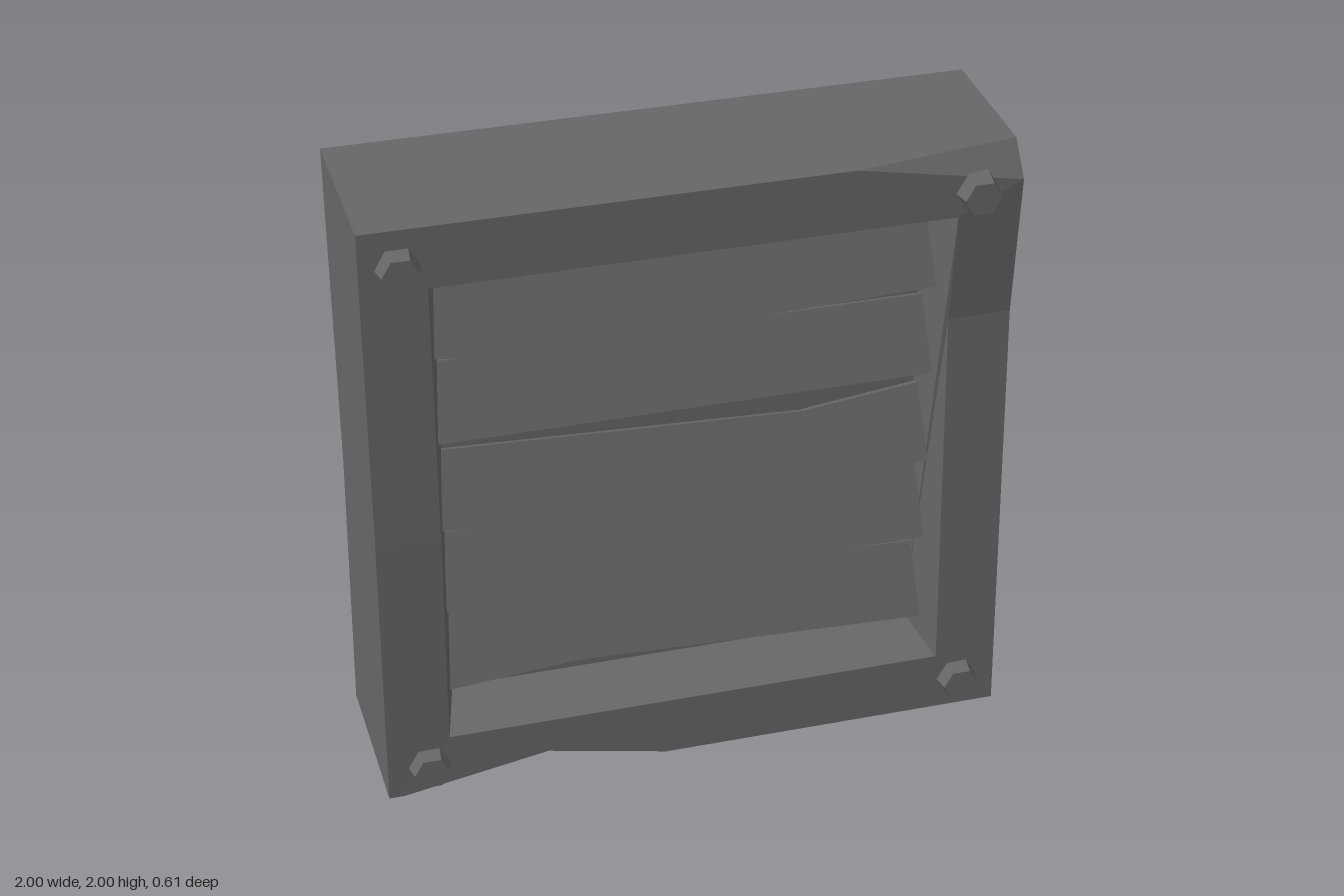
import * as THREE from 'three';
import { mergeVertices } from 'three/addons/utils/BufferGeometryUtils.js';

const metal = new THREE.MeshStandardMaterial({ color: 0x666666 });
metal.name = 'dark grey metal';

// Mesh from convex polygons, each fanned from its first corner; faceted unless smooth
function facetMesh(name, polygons, smooth = false) {
  const pos = [];
  for (const p of polygons)
    for (let i = 1; i < p.length - 1; i++) pos.push(...p[0], ...p[i], ...p[i + 1]);
  let g = new THREE.BufferGeometry();
  g.setAttribute('position', new THREE.Float32BufferAttribute(pos, 3));
  if (smooth) g = mergeVertices(g);
  g.computeVertexNormals();
  const mesh = new THREE.Mesh(g, metal);
  mesh.name = name;
  return mesh;
}

// Half width of the tapered recess at depth z
const recessHalf = (z) => 0.8 - (0.25 - z) * 0.28;

// Dented casing with a tapered square recess
function makeHousing() {
  // front outline, with a bottom notch and a clipped top corner
  const bl = [-1, 0, 0.255], br = [1, 0, 0.255], tl = [-1, 2, 0.25];
  const notchL = [-0.95, 0, 0.255], notchTop = [-0.485, 0.082, 0.255];
  const notchR = [-0.1, 0, 0.255], notchBack = [-0.47, 0, 0.1];
  const rightDent = [1, 1.43, 0.205], leftBulge = [-1, 0.95, 0.275];
  const clipR = [1, 1.9, 0.25], clipT = [0.48, 2, 0.25], clipBack = [1, 2, 0.17];
  // opening rim
  const ibl = [-0.8, 0.2, 0.255], ibr = [0.8, 0.2, 0.255];
  const itl = [-0.8, 1.8, 0.25], itr = [0.8, 1.8, 0.25];
  const iRight = [0.8, 1.43, 0.21], iLeft = [-0.8, 0.95, 0.27];
  // recess floor
  const floorZ = 0.07, w = recessHalf(floorZ);
  const dbl = [-w, 0.255, floorZ], dbr = [w, 0.255, floorZ];
  const dtl = [-w, 1.755, floorZ], dtr = [w, 1.755, floorZ];
  // back outline
  const bz = -0.305;
  const bbl = [-1, 0, bz], bbr = [1, 0, bz], btl = [-1, 2, bz], btr = [1, 2, bz];
  const backL = [-1, 0.95, -0.25], backR = [1, 1.5, -0.262];

  const housing = new THREE.Group();
  housing.name = 'housing';
  housing.add(facetMesh('frame', [
    // front frame
    [bl, notchL, notchTop, ibl], [notchTop, notchR, br, ibr, ibl],
    [br, rightDent, iRight, ibr], [rightDent, clipR, itr, iRight],
    [clipR, clipT, itr], [clipT, tl, itl, itr],
    [tl, leftBulge, iLeft, itl], [leftBulge, bl, ibl, iLeft],
    // clipped corner and notch
    [clipR, clipBack, clipT], [notchL, notchBack, notchTop], [notchTop, notchBack, notchR],
    // recess
    [ibl, ibr, dbr, dbl], [dbr, ibr, iRight, itr, dtr],
    [itr, itl, dtl, dtr], [dbl, dtl, itl, iLeft, ibl], [dbl, dbr, dtr, dtl],
    // bottom, top, sides
    [notchBack, notchL, bl, bbl, bbr, br, notchR], [tl, clipT, clipBack, btr, btl],
    [backR, btr, clipBack, clipR, rightDent, br, bbr],
    [backL, bbl, bl, leftBulge, tl, btl],
  ]));
  housing.add(facetMesh('backPanel', [[bbr, bbl, backL, backR], [backR, backL, btl, btr]], true));
  return housing;
}

// Tilted slat bent at one point; heights are given left, bend, right
function makeSlat({ bend, bottom, top }) {
  const zLow = 0.16, zHigh = 0.09, dy = -0.029, dz = -0.1;
  const sections = [-1, 0, 1].map((side, i) => {
    const corner = (y, z) => [side ? side * recessHalf(z) : bend, y, z];
    return [
      corner(bottom[i], zLow), corner(top[i], zHigh),
      corner(top[i] + dy, zHigh + dz), corner(bottom[i] + dy, zLow + dz),
    ];
  });
  const faces = [sections[0], [...sections[2]].reverse()];
  for (let i = 0; i < 2; i++)
    for (let k = 0; k < 4; k++) {
      const n = (k + 1) % 4, a = sections[i], b = sections[i + 1];
      faces.push([a[k], b[k], b[n], a[n]]);
    }
  return facetMesh('slat', faces);
}

// Hexagonal bolt head
function makeBolt(x, y) {
  const g = new THREE.CylinderGeometry(0.057, 0.073, 0.085, 6).toNonIndexed();
  g.computeVertexNormals();
  g.rotateY(Math.PI / 6);
  g.rotateX(Math.PI / 2);
  const bolt = new THREE.Mesh(g, metal);
  bolt.name = 'bolt';
  bolt.position.set(x, y, 0.2625);
  return bolt;
}

export function createModel() {
  const model = new THREE.Group();
  model.name = 'ventGrille';
  model.add(makeHousing());

  const slats = new THREE.Group();
  slats.name = 'slats';
  [
    { bend: -0.48, bottom: [1.51, 1.48, 1.52], top: [1.75, 1.725, 1.755] },
    { bend: 0, bottom: [1.215, 1.215, 1.215], top: [1.46, 1.46, 1.46] },
    { bend: 0.38, bottom: [0.905, 0.855, 0.9], top: [1.15, 1.1, 1.145] },
    { bend: 0, bottom: [0.607, 0.607, 0.607], top: [0.853, 0.853, 0.853] },
    { bend: -0.36, bottom: [0.31, 0.345, 0.3], top: [0.56, 0.585, 0.55] },
  ].forEach((s) => slats.add(makeSlat(s)));
  model.add(slats);

  const bolts = new THREE.Group();
  bolts.name = 'bolts';
  [[-0.885, 1.88], [0.857, 1.88], [-0.867, 0.107], [0.873, 0.107]]
    .forEach(([x, y]) => bolts.add(makeBolt(x, y)));
  model.add(bolts);
  return model;
}
